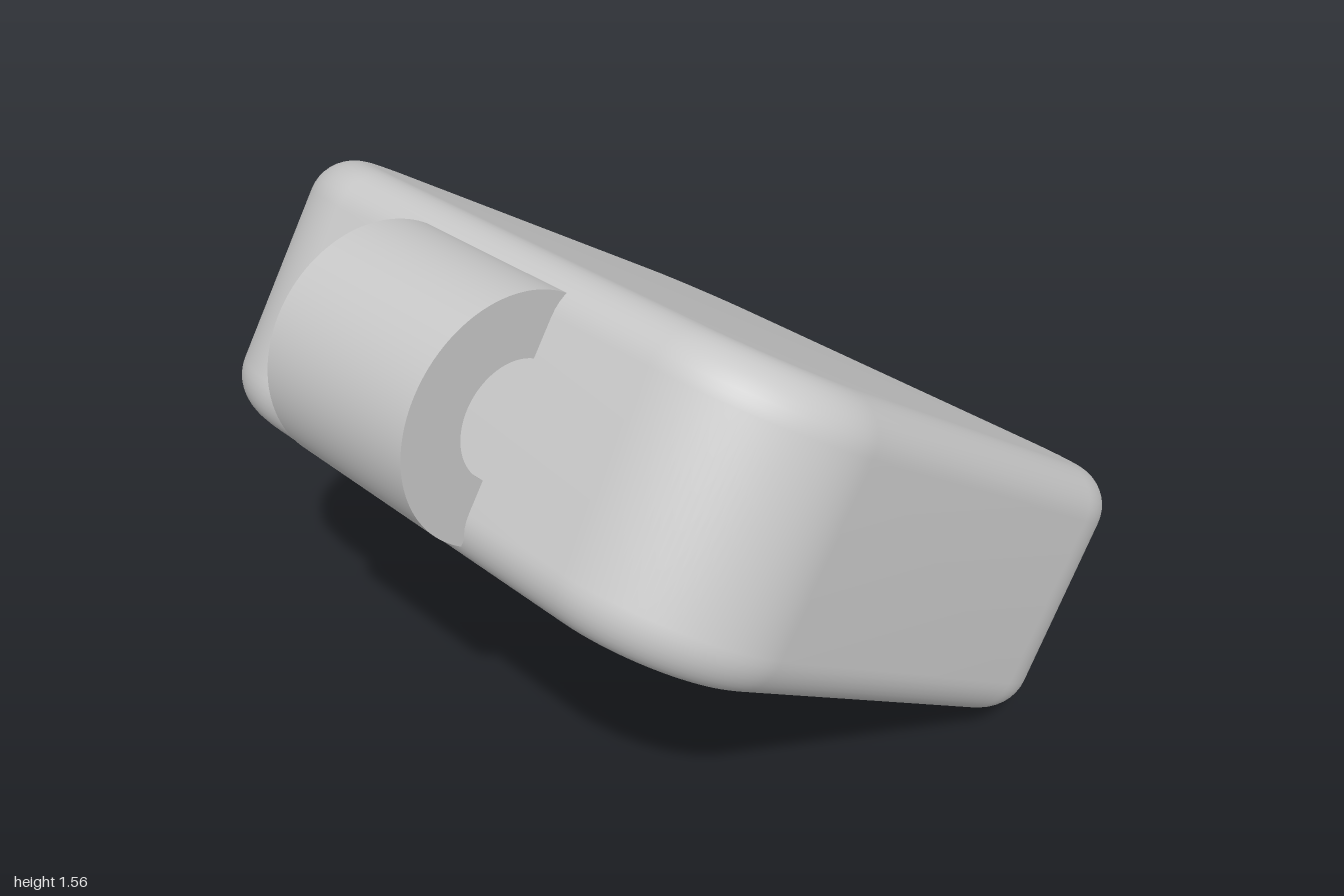
import * as THREE from 'three';
import { toCreasedNormals } from 'three/addons/utils/BufferGeometryUtils.js';

const WIDTH = 1.86, LENGTH = 1.85, THICK = 0.72, CORNER = 0.37, BEVEL = 0.12;

function roundedRect(w, h, r) {
  const s = new THREE.Shape(), x = w / 2 - r, y = h / 2 - r;
  s.absarc(x, y, r, 0, Math.PI / 2);
  s.absarc(-x, y, r, Math.PI / 2, Math.PI);
  s.absarc(-x, -y, r, Math.PI, Math.PI * 1.5);
  s.absarc(x, -y, r, Math.PI * 1.5, Math.PI * 2);
  s.closePath();
  return s;
}

export function createModel() {
  const model = new THREE.Group();
  model.name = 'caseWithLoop';
  const grey = new THREE.MeshStandardMaterial({ color: 0xc8c8c8 });
  grey.name = 'lightGrey';

  // Tilted frame: thickness along y, loop end along +z
  const tilted = new THREE.Group();
  tilted.name = 'tiltedCase';
  tilted.position.set(0, 0.76, -0.075);
  tilted.rotation.x = THREE.MathUtils.degToRad(-33);
  model.add(tilted);

  // Rounded square slab with soft edges
  const slab = new THREE.ExtrudeGeometry(roundedRect(WIDTH, LENGTH, CORNER), {
    depth: THICK - 2 * BEVEL, curveSegments: 16, bevelEnabled: true,
    bevelThickness: BEVEL, bevelSize: BEVEL, bevelOffset: -BEVEL, bevelSegments: 10,
  });
  slab.translate(0, 0, -(THICK - 2 * BEVEL) / 2);
  slab.rotateX(-Math.PI / 2);
  const body = new THREE.Mesh(toCreasedNormals(slab, 0.5), grey);
  body.name = 'body';
  tilted.add(body);

  // Half-ring loop on the raised end
  const arch = new THREE.Shape();
  arch.absarc(0, 0, 0.31, -Math.PI / 2, Math.PI / 2, false);
  arch.absarc(0, 0, 0.15, Math.PI / 2, -Math.PI / 2, true);
  arch.closePath();
  const ring = new THREE.ExtrudeGeometry(arch, { depth: 0.51, curveSegments: 40, bevelEnabled: false });
  ring.translate(0, 0, -0.255);
  ring.rotateY(-Math.PI / 2);
  const loop = new THREE.Mesh(toCreasedNormals(ring, 0.5), grey);
  loop.name = 'loop';
  loop.position.set(-0.003, -0.01, 0.907);
  tilted.add(loop);

  return model;
}
